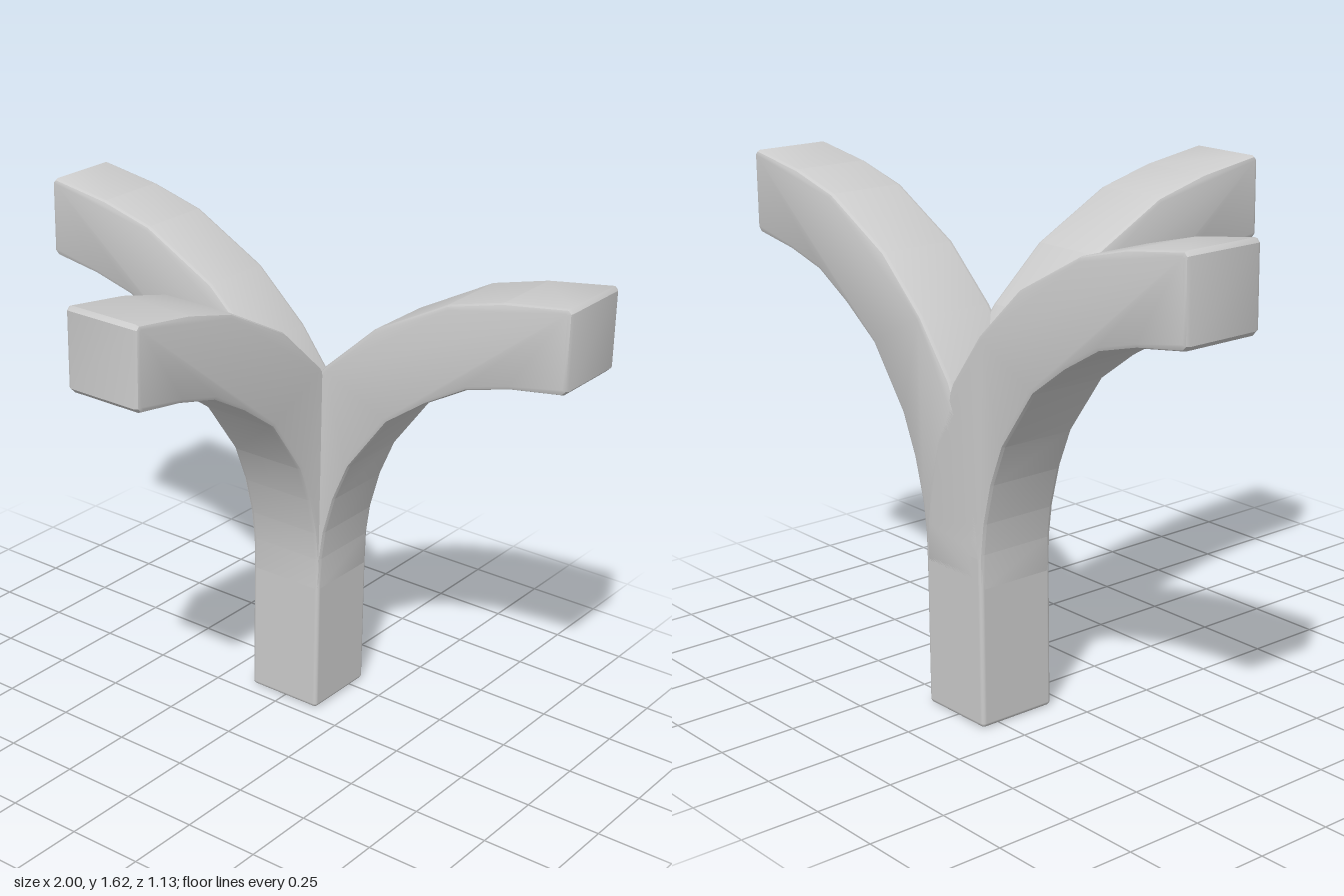
import * as THREE from 'three';
import { toCreasedNormals } from 'three/addons/utils/BufferGeometryUtils.js';
import { RoundedBoxGeometry } from 'three/addons/geometries/RoundedBoxGeometry.js';

const W = 0.27;       // thickness of the square beam
const BEVEL = 0.014;  // softened edges
const TRUNK_Z = -0.432;

// Side profile of one curved arm: underside outwards, then the top side back
const armProfile = [
  [0.135, 0.45], [0.137, 0.56], [0.15, 0.66], [0.185, 0.79], [0.24, 0.92],
  [0.38, 1.11], [0.52, 1.21], [0.66, 1.29], [0.81, 1.33], [0.985, 1.357],
  [1.0, 1.372], [1.0, 1.61], [0.988, 1.623],
  [0.77, 1.59], [0.58, 1.54], [0.32, 1.4], [0.14, 1.235], [0.01, 1.065],
  [-0.065, 0.9], [-0.11, 0.74], [-0.13, 0.6], [-0.135, 0.45],
];

function armGeometry() {
  const shape = new THREE.Shape(armProfile.map(([x, y]) => new THREE.Vector2(x, y)));
  const geometry = new THREE.ExtrudeGeometry(shape, {
    depth: W - 2 * BEVEL,
    bevelEnabled: true,
    bevelThickness: BEVEL,
    bevelSize: BEVEL,
    bevelOffset: -BEVEL,
    bevelSegments: 2,
  });
  geometry.translate(0, 0, -W / 2 + BEVEL);
  return toCreasedNormals(geometry, 0.4);
}

export function createModel() {
  const model = new THREE.Group();
  model.name = 'threeWayBranch';
  const material = new THREE.MeshStandardMaterial({ color: 0xcccccc });

  // Straight square trunk
  const height = 0.56;
  const trunk = new THREE.Mesh(new RoundedBoxGeometry(W, height, W, 2, BEVEL), material);
  trunk.name = 'trunk';
  trunk.position.set(0, height / 2, TRUNK_Z);
  model.add(trunk);

  // Three identical arms fanning out to the left, right and front
  const geometry = armGeometry();
  const arms = { leftArm: 0, rightArm: Math.PI, frontArm: -Math.PI / 2 };
  for (const [name, turn] of Object.entries(arms)) {
    const arm = new THREE.Mesh(geometry, material);
    arm.name = name;
    arm.position.z = TRUNK_Z;
    arm.rotation.y = turn;
    model.add(arm);
  }
  return model;
}
